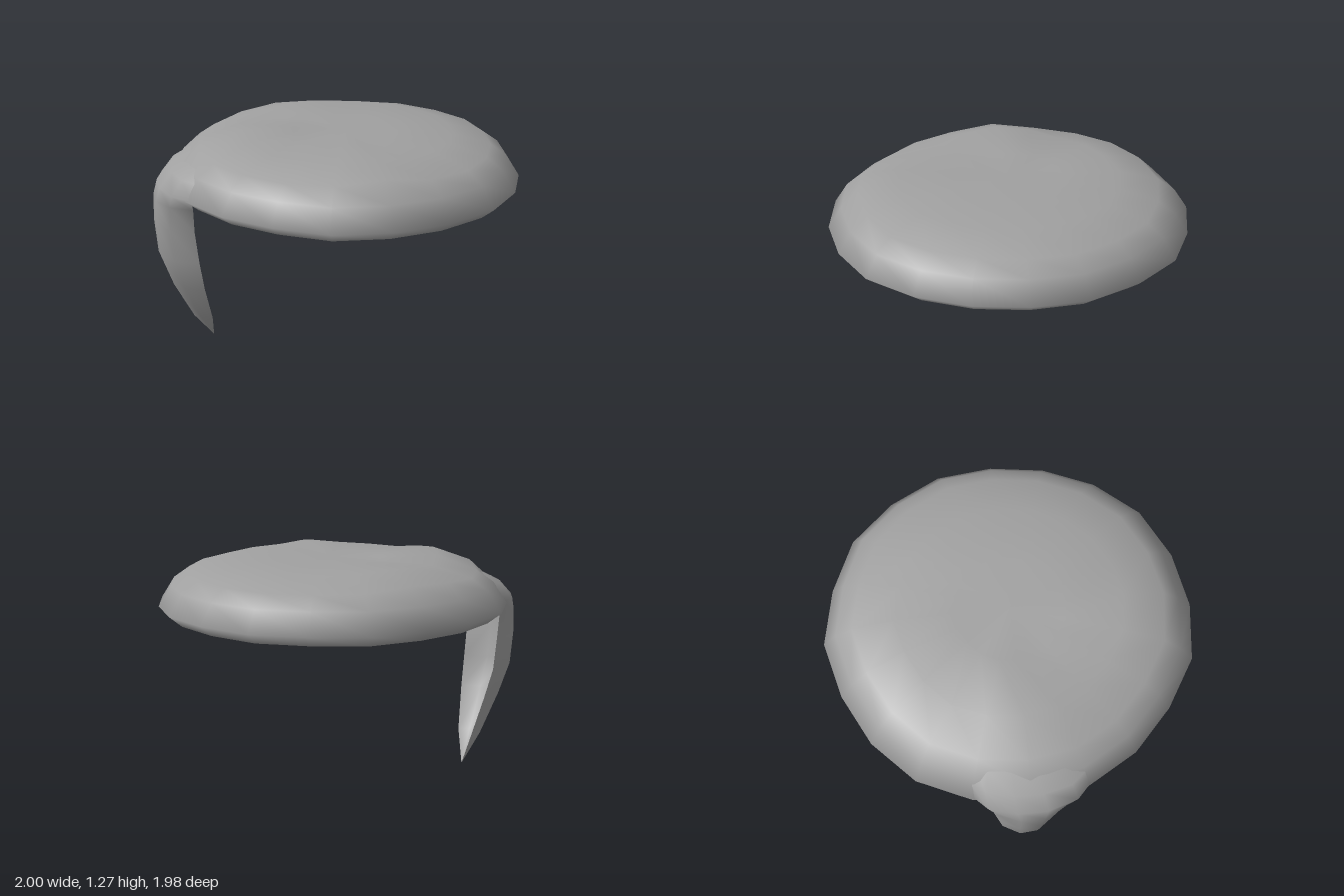
import * as THREE from 'three';
import { mergeVertices } from 'three/addons/utils/BufferGeometryUtils.js';

const SIDES = 20;

// Slightly uneven rim radius, one value per side, from the front towards the left
const RIM = [
  0.985, 0.98, 1.01, 1, 0.996, 1, 0.98, 0.965, 0.965, 0.985,
  0.99, 1.01, 1, 1.02, 0.996, 1, 1.01, 1, 1, 0.996,
];

// Soft raised spots on the crown: x, z, height, radius
const BUMPS = [
  [-0.37, 0.49, 0.045, 0.3],
  [0.66, 0.5, 0.04, 0.3],
  [-0.74, -0.2, 0.025, 0.35],
];

// Open crown: a lathe with an uneven rim and lifted spots
function crownGeometry(profile) {
  const geometry = new THREE.LatheGeometry(profile.map(([r, y]) => new THREE.Vector2(r, y)), SIDES);
  const p = geometry.attributes.position;
  for (let i = 0; i < p.count; i++) {
    const scale = RIM[Math.floor(i / profile.length) % SIDES];
    const x = p.getX(i) * scale;
    const z = p.getZ(i) * scale;
    let y = p.getY(i);
    if (y > 1.12) {
      for (const [bx, bz, h, radius] of BUMPS) {
        const d = Math.hypot(x - bx, z - bz) / radius;
        if (d < 1) y += h * (1 - d * d);
      }
    }
    p.setXYZ(i, x, y, z);
  }
  geometry.deleteAttribute('uv');
  geometry.deleteAttribute('normal');
  const welded = mergeVertices(geometry, 1e-4);
  welded.computeVertexNormals();
  return welded;
}

// Open curved sheet from edge a to edge b, lofted upwards: [y, ax, az, bx, bz, bulge]
function sheetGeometry(sections) {
  const positions = [];
  const index = [];
  const steps = [0, 0.12, 0.35, 0.6, 0.85, 1];
  const n = steps.length;
  for (const [y, ax, az, bx, bz, bulge] of sections) {
    for (const t of steps) {
      const out = bulge * Math.pow(4 * t * (1 - t), 0.6);
      positions.push(ax + (bx - ax) * t - 0.55 * out, y, az + (bz - az) * t + 0.83 * out);
    }
  }
  for (let s = 0; s < sections.length - 1; s++) {
    for (let i = 0; i < n - 1; i++) {
      const a = s * n + i;
      index.push(a, a + 1, a + n, a + 1, a + 1 + n, a + n);
    }
  }
  const geometry = new THREE.BufferGeometry();
  geometry.setAttribute('position', new THREE.Float32BufferAttribute(positions, 3));
  geometry.setIndex(index);
  const welded = mergeVertices(geometry, 1e-4);
  welded.computeVertexNormals();
  return welded;
}

export function createModel() {
  const model = new THREE.Group();
  model.name = 'cap with hanging lock';
  const grey = new THREE.MeshStandardMaterial({ color: 0xa0a0a0, side: THREE.DoubleSide });
  grey.name = 'grey';

  const add = (name, geometry) => {
    const mesh = new THREE.Mesh(geometry, grey);
    mesh.name = name;
    model.add(mesh);
  };

  // Rounded hollow crown, from the lower rim to the top
  add('crown', crownGeometry([
    [0.925, 0.93], [1, 0.99], [0.925, 1.105], [0.83, 1.17],
    [0.61, 1.227], [0.3, 1.238], [0, 1.238],
  ]));

  // Tapered lock curling down from the rim, open at the back
  add('hangingLock', sheetGeometry([
    [0, -0.555, 0.55, -0.555, 0.55, 0],
    [0.17, -0.6, 0.575, -0.455, 0.65, 0.09],
    [0.4, -0.665, 0.6, -0.39, 0.76, 0.15],
    [0.58, -0.71, 0.62, -0.37, 0.81, 0.18],
    [0.77, -0.73, 0.62, -0.365, 0.84, 0.18],
    [0.92, -0.75, 0.61, -0.325, 0.88, 0.17],
    [1.0, -0.8, 0.57, -0.27, 0.94, 0.14],
    [1.08, -0.77, 0.53, -0.27, 0.89, 0.11],
    [1.14, -0.7, 0.48, -0.27, 0.8, 0.06],
  ]));

  return model;
}
